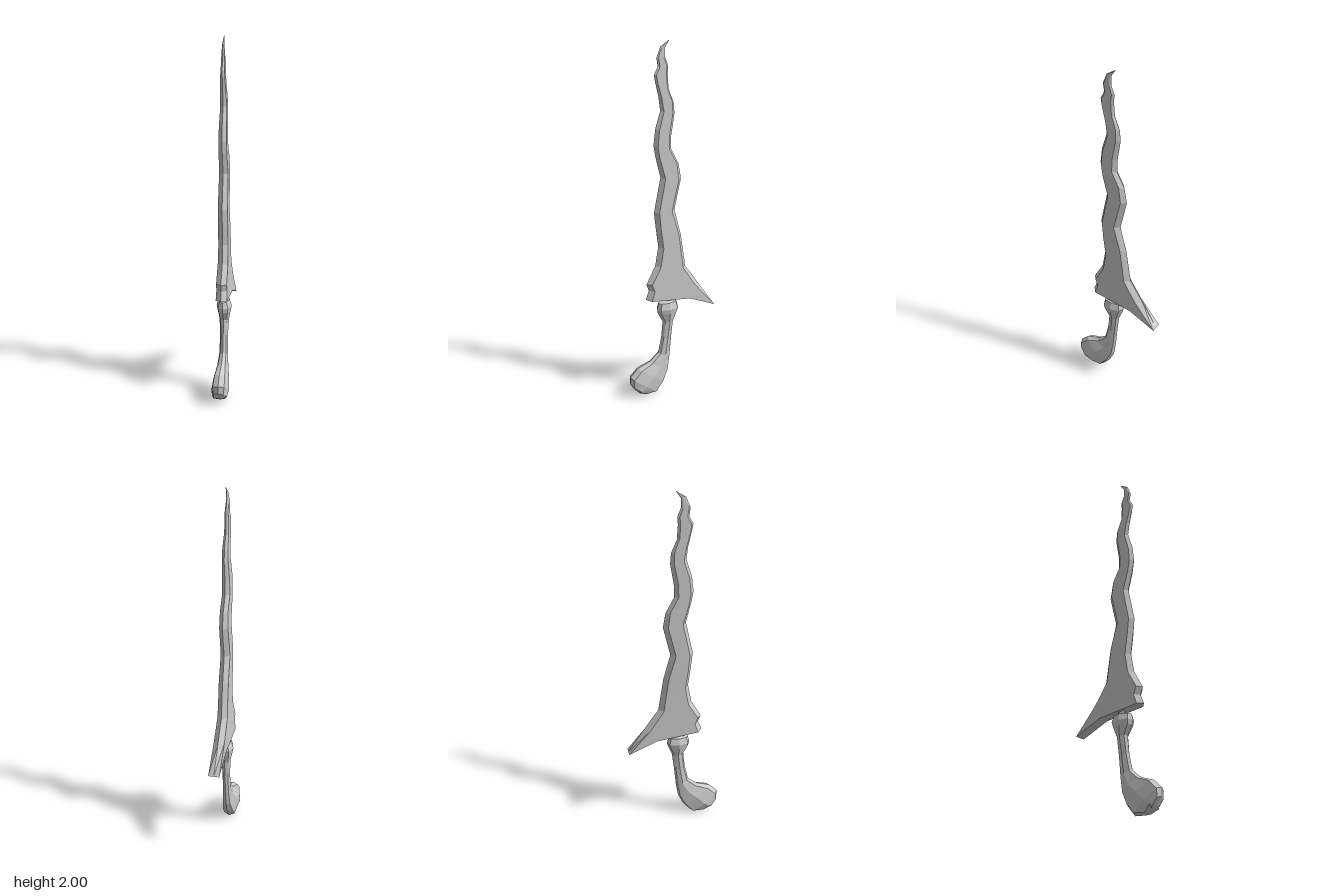
import * as THREE from 'three';

// Eight-sided ring running front ridge -> left face -> back ridge -> right face.
// zf,yf / zb,yb: front and back ridge; w: half thickness; a,b: bevel depths;
// k: bevel-corner thickness relative to w; m, lift: placing of the mid-face corner.
function ring({ zf, yf, zb, yb, w, a, b, k = 1, m = 0.5, lift = 0 }) {
  const len = Math.hypot(zb - zf, yb - yf);
  const at = (x, t, up = 0) => [x, yf + (yb - yf) * t + up, zf + (zb - zf) * t];
  const t0 = Math.min(a / len, 0.45), t1 = 1 - Math.min(b / len, 0.45);
  const side = (s) => [at(s * w * k, t0), at(s * w, m, lift), at(s * w * k, t1)];
  return [at(0, 0), ...side(1), at(0, 1), ...side(-1).reverse()];
}

// Skin a stack of rings (lowest first) and close both ends.
function loft(rings) {
  const pos = [];
  const tri = (...p) => p.forEach((v) => pos.push(...v));
  const n = 8;
  for (let i = 0; i < rings.length - 1; i++) {
    for (let j = 0; j < n; j++) {
      const a = rings[i][j], b = rings[i][(j + 1) % n];
      const c = rings[i + 1][(j + 1) % n], d = rings[i + 1][j];
      tri(a, b, c);
      tri(a, c, d);
    }
  }
  const cap = (r, flip) => {
    const mid = r[2].map((v, i) => (v + r[6][i]) / 2);
    for (let j = 0; j < n; j++) {
      const p = r[j], q = r[(j + 1) % n];
      flip ? tri(mid, q, p) : tri(mid, p, q);
    }
  };
  cap(rings[0], true);
  cap(rings[rings.length - 1], false);
  const geo = new THREE.BufferGeometry();
  geo.setAttribute('position', new THREE.Float32BufferAttribute(pos, 3));
  geo.computeVertexNormals();
  return geo;
}

export function createModel() {
  const group = new THREE.Group();
  const material = new THREE.MeshStandardMaterial({ color: 0xcccccc, flatShading: true });
  const add = (name, rings) => {
    const mesh = new THREE.Mesh(loft(rings), material);
    mesh.name = name;
    group.add(mesh);
  };

  // Wavy blade: front z, y, back z, y, half thickness
  const bladeRows = [
    [0.14, 0.64, -0.17, 0.63, 0.03],
    [0.155, 0.68, -0.13, 0.69, 0.029],
    [0.1, 0.78, -0.09, 0.745, 0.028],
    [0.08, 0.89, -0.075, 0.84, 0.027],
    [0.095, 1.0, -0.06, 0.94, 0.027],
    [0.105, 1.09, -0.02, 1.09, 0.026],
    [0.08, 1.21, -0.04, 1.175, 0.025],
    [0.065, 1.28, -0.06, 1.26, 0.024],
    [0.095, 1.4, -0.045, 1.345, 0.022],
    [0.105, 1.46, 0, 1.43, 0.021],
    [0.095, 1.545, 0, 1.5, 0.02],
    [0.065, 1.64, -0.02, 1.62, 0.017],
    [0.075, 1.715, -0.015, 1.68, 0.015],
    [0.095, 1.8, 0.015, 1.75, 0.012],
    [0.1, 1.83, 0.02, 1.83, 0.01],
    [0.078, 1.87, 0.017, 1.87, 0.009],
    [0.085, 1.915, 0.035, 1.915, 0.007],
    [0.062, 1.97, 0.035, 1.965, 0.004],
    [0.014, 2.0, 0.01, 2.0, 0.0005],
  ];
  // The lowest ring sweeps back into the spur, which ends in a full-width edge
  const heel = ring({ zf: 0.16, yf: 0.59, zb: -0.265, yb: 0.485, w: 0.031, a: 0.025, b: 0, m: 0.62, lift: 0.03 });
  add('blade', [heel, ...bladeRows.map(([zf, yf, zb, yb, w]) =>
    ring({ zf, yf, zb, yb, w, a: 0.004 + w * 0.65, b: 0.004 + w * 0.9 }))]);

  // Collar with its neck under the blade, and the bent grip swelling into the pommel
  const handleRing = ([zf, yf, zb, yb, w]) =>
    ring({ zf, yf, zb, yb, w, a: 0.005 + w * 0.2, b: 0.005 + w * 0.2, k: 0.65 });
  add('collar', [
    [0.055, 0.435, -0.012, 0.435, 0.027],
    [0.085, 0.49, -0.033, 0.487, 0.038],
    [0.09, 0.515, -0.042, 0.515, 0.043],
    [0.08, 0.55, -0.03, 0.553, 0.03],
    [0.035, 0.56, -0.005, 0.56, 0.016],
    [0.032, 0.585, 0, 0.585, 0.014],
  ].map(handleRing));
  add('gripAndPommel', [
    [0.235, 0.045, 0.205, 0.022, 0.031],
    [0.262, 0.085, 0.165, 0.005, 0.042],
    [0.262, 0.13, 0.1, 0.01, 0.049],
    [0.215, 0.175, 0.055, 0.065, 0.044],
    [0.14, 0.2, 0.025, 0.13, 0.032],
    [0.085, 0.245, 0.012, 0.21, 0.025],
    [0.065, 0.335, 0, 0.335, 0.022],
    [0.055, 0.435, -0.012, 0.435, 0.027],
  ].map(handleRing));
  return group;
}
